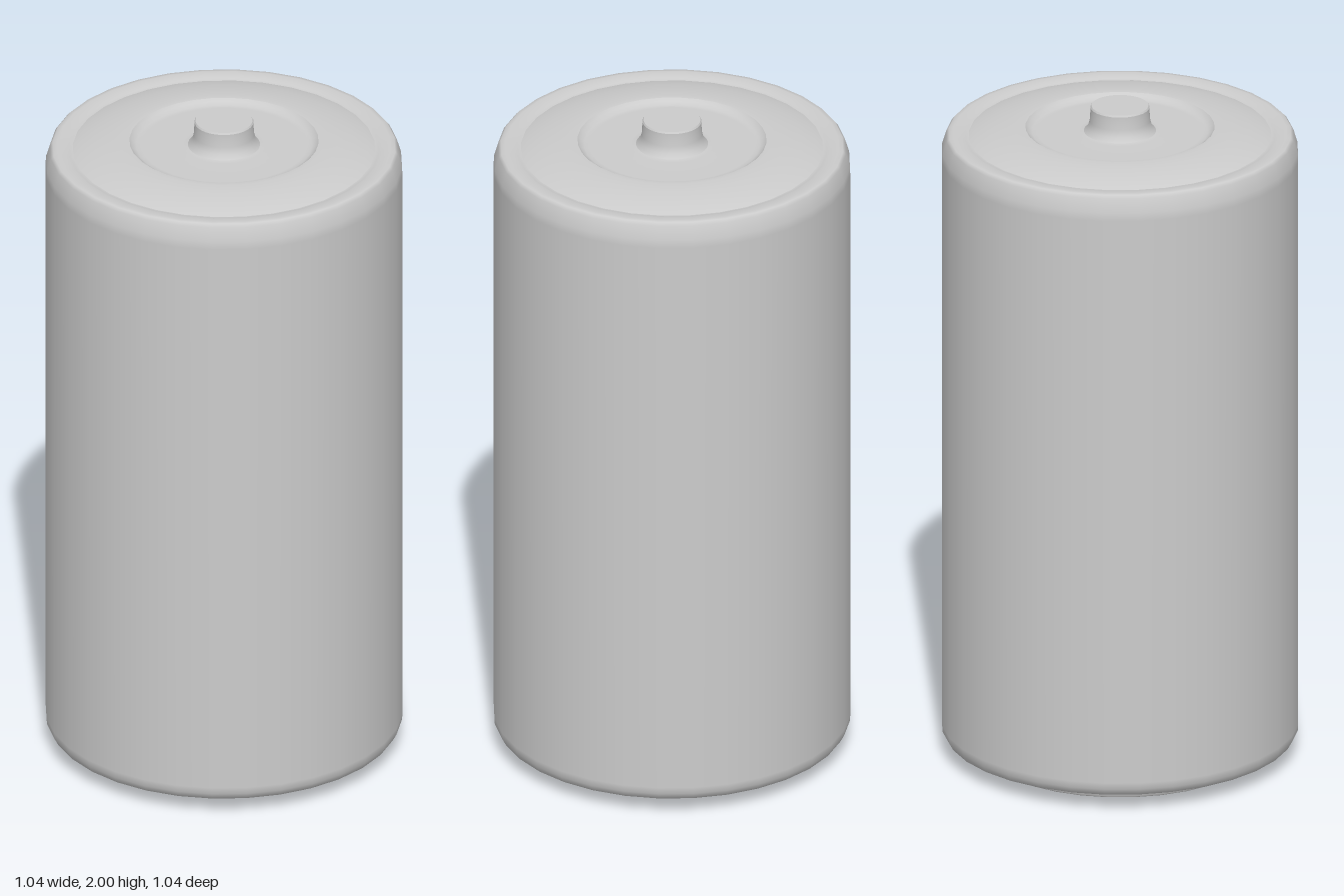
import * as THREE from 'three';

const SIDES = 32;

// Smooth ring of revolution; profile runs from the bottom centre, outwards, to the top centre.
function turned(name, profile, material) {
  const points = profile.map(([r, y]) => new THREE.Vector2(r, y));
  const mesh = new THREE.Mesh(new THREE.LatheGeometry(points, SIDES), material);
  mesh.name = name;
  return mesh;
}

export function createModel() {
  const model = new THREE.Group();
  model.name = 'battery';
  const material = new THREE.MeshStandardMaterial({ color: 0xcccccc });

  // Each part ends where the surface has a sharp edge, so normals stay crisp there.
  const parts = {
    // base plate with a shallow dished centre
    baseCentre: [[0, 0.012], [0.2, 0.012]],
    baseRing: [[0.2, 0.012], [0.215, 0.003], [0.23, 0.001], [0.39, 0.001], [0.4, 0]],
    baseStep: [[0.4, 0], [0.405, 0.005], [0.41, 0.025]],
    // casing with rolled lower and upper edges
    casing: [
      [0.41, 0.025], [0.43, 0.031], [0.495, 0.045], [0.507, 0.05], [0.518, 0.07], [0.519, 0.09],
      [0.519, 1.84], [0.518, 1.865], [0.506, 1.905], [0.498, 1.914],
      [0.485, 1.915], [0.46, 1.913], [0.45, 1.908], [0.44, 1.907],
    ],
    // lid rising towards the sunken centre
    lid: [[0.44, 1.907], [0.42, 1.914], [0.38, 1.924], [0.33, 1.932], [0.29, 1.935], [0.275, 1.934]],
    lidCentre: [[0.275, 1.934], [0.267, 1.926], [0.255, 1.92], [0.24, 1.919], [0.12, 1.919], [0.105, 1.922]],
    // terminal with a flared foot
    terminalSide: [[0.105, 1.922], [0.093, 1.935], [0.088, 1.955], [0.086, 1.985], [0.086, 1.995]],
    terminalEdge: [[0.086, 1.995], [0.083, 2]],
    terminalTop: [[0.083, 2], [0, 2]],
  };
  for (const [name, profile] of Object.entries(parts)) model.add(turned(name, profile, material));
  return model;
}
